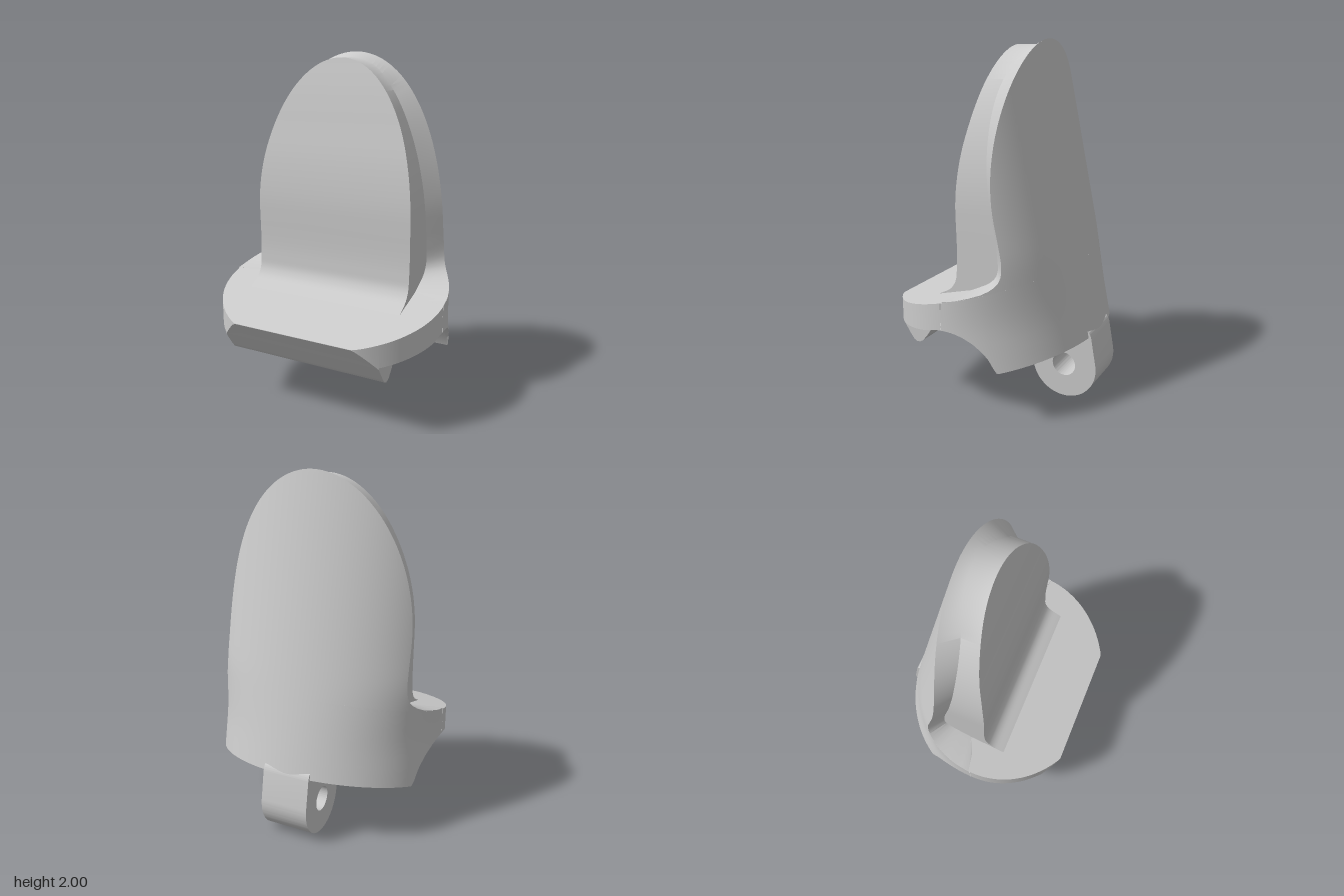
import * as THREE from 'three';
import { toCreasedNormals } from 'three/addons/utils/BufferGeometryUtils.js';

const material = new THREE.MeshStandardMaterial({ color: 0xcccccc, side: THREE.DoubleSide });
const R = 0.68; // half-width of the collar

// Smooth curve through [key, value] pairs with rising keys
function smooth(pairs) {
  const it = new THREE.CubicInterpolant(pairs.map(p => p[0]), pairs.map(p => p[1]), 1, new Float32Array(1));
  return k => it.evaluate(THREE.MathUtils.clamp(k, pairs[0][0], pairs.at(-1)[0]))[0];
}

// Straight-line table with rising keys
function linear(pairs) {
  return k => {
    let i = 1;
    while (i < pairs.length - 1 && k > pairs[i][0]) i++;
    const [a, b] = [pairs[i - 1], pairs[i]];
    return THREE.MathUtils.mapLinear(k, a[0], b[0], a[1], b[1]);
  };
}

// Skin a list of closed rings, skipping collapsed triangles
function loft(rings, crease) {
  const pos = [];
  const tri = (a, b, c) => {
    const [A, B, C] = [a, b, c].map(p => new THREE.Vector3(...p));
    if (B.clone().sub(A).cross(C.clone().sub(A)).length() > 1e-8) pos.push(...a, ...b, ...c);
  };
  for (let i = 0; i < rings.length - 1; i++) {
    const p = rings[i], q = rings[i + 1], n = p.length;
    for (let j = 0; j < n; j++) {
      const k = (j + 1) % n;
      tri(p[j], p[k], q[k]);
      tri(p[j], q[k], q[j]);
    }
  }
  const g = new THREE.BufferGeometry();
  g.setAttribute('position', new THREE.Float32BufferAttribute(pos, 3));
  return toCreasedNormals(g, crease);
}

// Leaning, rounded back surface shared by the shell and the collar
const arc = x => Math.sqrt(Math.max(0, 1 - (x / R) ** 2));
const backZ = (x, y) => {
  const depth = 0.6 - 0.11 * THREE.MathUtils.smoothstep(y, 0.5, 0.95);
  return -0.19 - (2 - y) * 0.212 + depth * (1 - arc(x));
};

// Upright shell with a bevelled rim and a raised front tongue
function shellGeometry() {
  const front = smooth([[0.62, 0.26], [0.64, 0.225], [0.67, 0.17], [0.72, 0.13], [0.8, 0.117], [1.2, 0.117],
    [1.4, 0.1], [1.6, 0.067], [1.8, 0.032], [1.97, -0.005]]);
  const rim = smooth([[0.62, 0.06], [0.68, 0.05], [0.7, 0.01], [0.72, -0.03], [0.75, -0.085], [0.8, -0.13],
    [0.9, -0.135], [1.2, -0.085], [1.4, -0.06], [1.7, -0.055], [1.85, -0.08], [1.97, -0.13]]);
  const flare = smooth([[0.62, 0.66], [0.68, 0.68], [0.7, 0.672], [0.72, 0.655], [0.75, 0.62], [0.8, 0.582],
    [0.87, 0.567], [0.95, 0.565], [1.1, 0.565]]);
  const rows = [];
  for (let i = 0; i <= 32; i++) {
    const t = (1 - i / 32) * Math.PI / 2, c = i ? Math.cos(t) : 0, s = Math.sin(t);
    rows.push([0.565 * c, 1.1 + 0.9 * s, 0.485 * c, 1.1 + 0.87 * s]);
  }
  for (const y of [1, 0.95, 0.9, 0.86, 0.83, 0.8, 0.78, 0.76, 0.74, 0.72, 0.7, 0.69, 0.68, 0.67, 0.66, 0.65, 0.64, 0.62])
    rows.push([flare(y), y, 0.485, y]);
  const N = 40;
  return loft(rows.map(([wo, yo, wi, yi]) => {
    const ring = [[wi, yi, front(yi)], [-wi, yi, front(yi)], [-wi, yi, rim(yi)]];
    for (let k = 0; k <= N; k++) {
      const x = -wo * Math.cos(k / N * Math.PI);
      ring.push([x, yo, backZ(x, yo)]);
    }
    ring.push([wi, yi, rim(yi)]);
    return ring;
  }), 0.5);
}

// Sloping collar with front lip and arched underside, skinned from side sections
function collarGeometry() {
  const profile = [[-0.6, 0.41], [-0.2, 0.31], [-0.17, 0.375], [-0.13, 0.425], [-0.08, 0.47], [-0.02, 0.502],
    [0.03, 0.516], [0.08, 0.52], [0.13, 0.516], [0.18, 0.503], [0.23, 0.48], [0.27, 0.445], [0.3, 0.405],
    [0.33, 0.36], [0.36, 0.325], [0.38, 0.312], [0.4, 0.31], [0.42, 0.32], [0.44, 0.345], [0.5, 0.435], [0.57, 0.538]];
  const under = linear(profile);
  const top = z => 0.54 + (0.57 - z) * 0.28;
  const section = (x, lip) => {
    const bottom = z => lip || z < 0.08 ? under(z) : Math.max(under(z), 0.52 - 0.21 * (z - 0.08));
    let yb = 0.4, yt = 0.7;
    for (let i = 0; i < 12; i++) {
      yb = bottom(backZ(x, yb));
      yt = top(backZ(x, yt));
    }
    const zb = backZ(x, yb), zf = Math.max(zb, Math.min(0.57, 0.1 + 0.56 * arc(x)));
    const ring = [[x, yt, backZ(x, yt)], [x, top(zf), zf]];
    for (const [z] of [...profile].reverse()) {
      const zz = THREE.MathUtils.clamp(z, zb, zf);
      ring.push([x, bottom(zz), zz]);
    }
    for (let k = 0; k < 8; k++) {
      const y = THREE.MathUtils.lerp(yb, yt, k / 8);
      ring.push([x, y, backZ(x, y)]);
    }
    return ring;
  };
  const edge = 0.485, half = [];
  for (let i = 0; i <= 24; i++) half.push([edge * i / 24, true]);
  for (let i = 0; i <= 24; i++) {
    const a = Math.asin(edge / R);
    half.push([R * Math.sin(a + (Math.PI / 2 - a) * i / 24), false]);
  }
  const all = [...half.slice(1).reverse().map(([x, l]) => [-x, l]), ...half];
  return loft(all.map(([x, l]) => section(x, l)), 0.5);
}

// Hinge lug with a pin hole, profile drawn as (z, y)
function lugGeometry() {
  const s = new THREE.Shape();
  s.moveTo(-0.2, 0.34);
  s.lineTo(-0.178, 0.22);
  s.absarc(-0.37, 0.195, 0.195, 0.12, -Math.PI - 0.15, true);
  s.lineTo(-0.533, 0.39);
  s.quadraticCurveTo(-0.52, 0.435, -0.49, 0.43);
  s.quadraticCurveTo(-0.465, 0.43, -0.455, 0.4);
  s.lineTo(-0.4, 0.4);
  s.closePath();
  const hole = new THREE.Path();
  hole.absarc(-0.37, 0.198, 0.07, 0, Math.PI * 2);
  s.holes.push(hole);
  const g = new THREE.ExtrudeGeometry(s, { depth: 0.28, bevelEnabled: false, curveSegments: 40 });
  g.translate(0, 0, -0.14).rotateY(-Math.PI / 2);
  return toCreasedNormals(g, 0.5);
}

export function createModel() {
  const model = new THREE.Group();
  const parts = { uprightShell: shellGeometry(), collar: collarGeometry(), hingeLug: lugGeometry() };
  for (const [name, geometry] of Object.entries(parts)) {
    const mesh = new THREE.Mesh(geometry, material);
    mesh.name = name;
    model.add(mesh);
  }
  return model;
}
